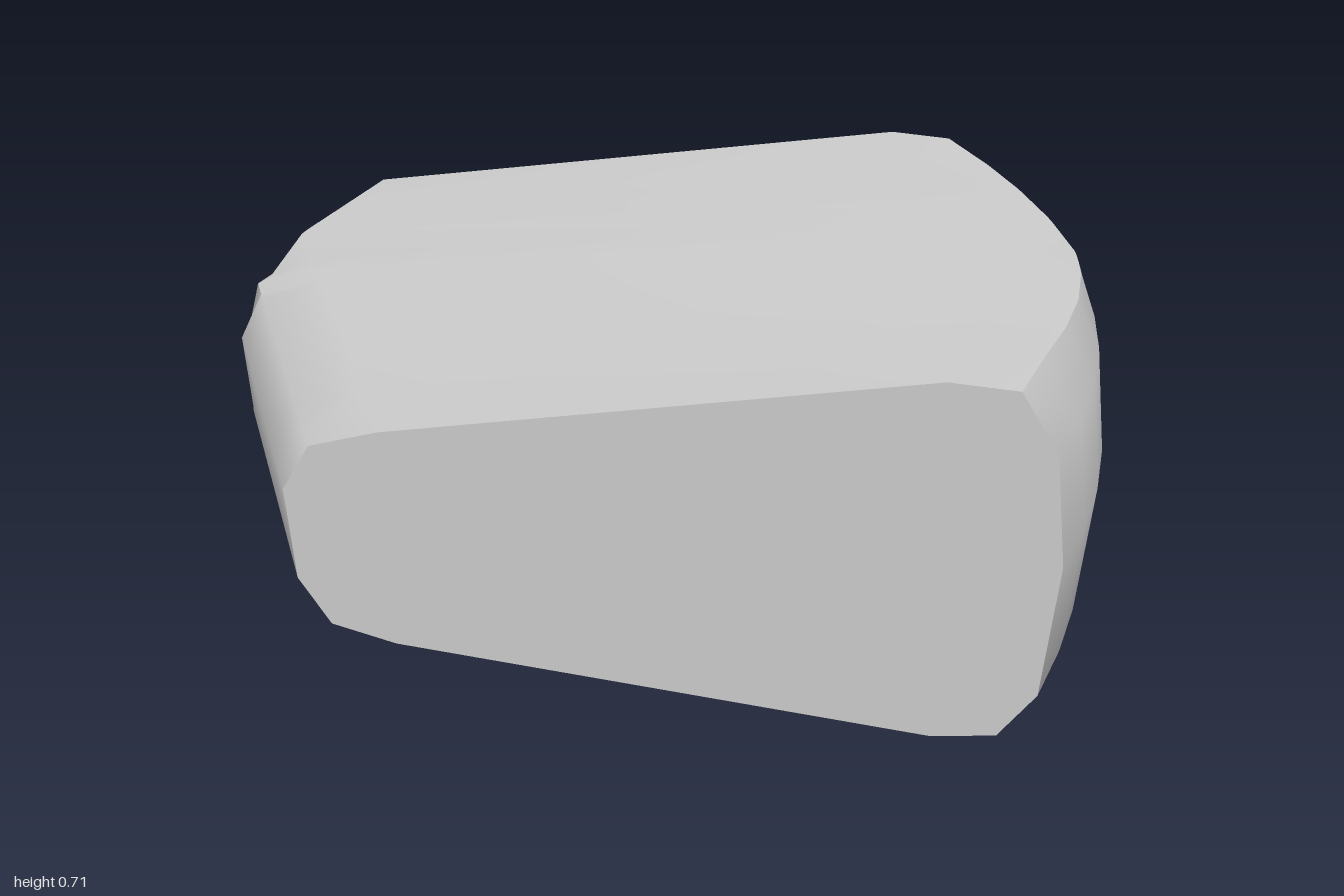
import * as THREE from 'three';
import { toCreasedNormals } from 'three/addons/utils/BufferGeometryUtils.js';

// Side profiles from bottom to top: [inset from the outer wall, height]
const rightProfile = [[0.22, 0], [0.1, 0.025], [0.03, 0.12], [0, 0.38], [0.02, 0.59], [0.09, 0.70], [0.22, 0.70]];
const leftProfile = [[0.23, 0], [0.09, 0.02], [0.02, 0.11], [0, 0.30], [0.06, 0.40], [0.21, 0.45]];
const stations = [-0.73, -0.58, -0.45, -0.31, -0.28, -0.13, -0.1, -0.06, 0, 0.03, 0.2, 0.38, 0.55, 0.73];

// Curved right wall, and slanted left wall that ends in a flat wall at x = -1
const rightWall = (z) => 1 - 0.273 * Math.pow(Math.abs(0.55 - z), 2.2);
const leftWall = (z) => -1 + (z - 0.03) * (0.47 / 0.70);

// Closed cross-section at depth z, counter-clockwise seen from the front
function section(z) {
  const bump = Math.max(0, 1 - Math.abs(z + 0.13) / 0.65);
  const right = rightProfile.map(([inset, y], i) => {
    if (i === 5) { inset -= 0.05 * bump; y -= 0.035 * bump; } // dipping top edge
    if (i === 6) y += 0.008 * bump; // slightly raised crest
    return [rightWall(z) - inset, y, z];
  });
  const left = leftProfile.map(([inset, y]) => [Math.max(-1, leftWall(z) + inset), y, z]);
  return [...right, ...left.reverse()];
}

function blockGeometry() {
  const rings = stations.map(section);
  const n = rings[0].length;
  const positions = [];
  const tri = (...corners) => corners.forEach((p) => positions.push(...p));

  // Skin between the cross-sections
  for (let i = 0; i < rings.length - 1; i++) {
    for (let j = 0; j < n; j++) {
      const k = (j + 1) % n;
      const a = rings[i][j], b = rings[i][k], c = rings[i + 1][k], d = rings[i + 1][j];
      tri(a, b, c);
      tri(a, c, d);
    }
  }

  // Flat back and front ends
  const back = rings[0], front = rings[rings.length - 1];
  for (let j = 0; j < n; j++) {
    const k = (j + 1) % n;
    tri([0, 0.3, front[0][2]], front[j], front[k]);
    tri([0, 0.3, back[0][2]], back[k], back[j]);
  }

  const geometry = new THREE.BufferGeometry();
  geometry.setAttribute('position', new THREE.Float32BufferAttribute(positions, 3));
  return toCreasedNormals(geometry, 0.78);
}

export function createModel() {
  const group = new THREE.Group();
  group.name = 'roundedBlock';
  const grey = new THREE.MeshStandardMaterial({ color: 0xcccccc });
  grey.name = 'light grey';
  const block = new THREE.Mesh(blockGeometry(), grey);
  block.name = 'block';
  group.add(block);
  return group;
}
